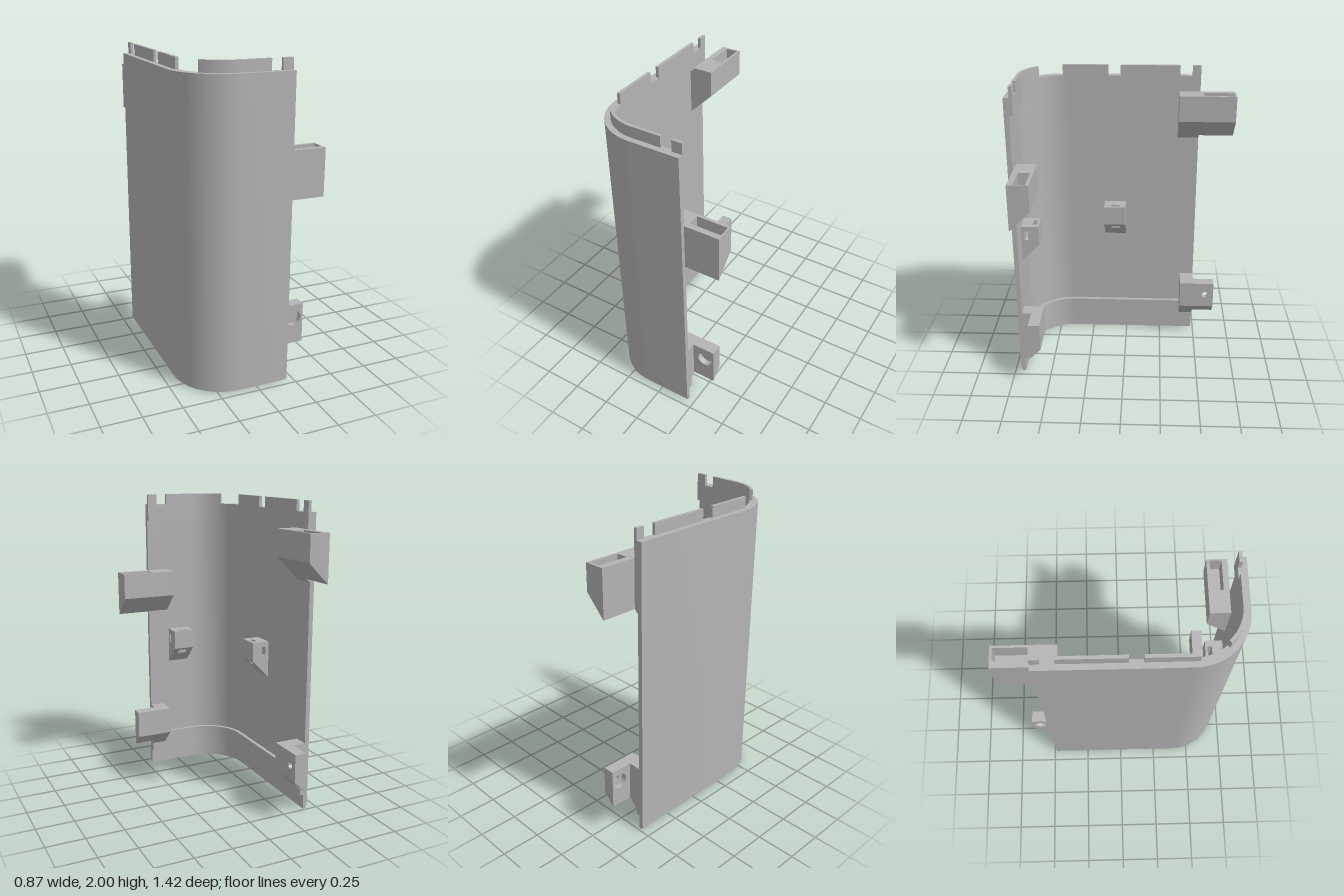
import * as THREE from 'three';
import { toCreasedNormals } from 'three/addons/utils/BufferGeometryUtils.js';

const grey = new THREE.MeshStandardMaterial({ color: 0xb4b4b4 });
grey.name = 'plain grey';

const END_Z = -0.485, END_X = 0.205; // free edges of the side and front walls
const V = (x, y) => new THREE.Vector2(x, y);

function add(parent, name, geometry) {
  const mesh = new THREE.Mesh(toCreasedNormals(geometry, 0.5), grey);
  mesh.name = name;
  parent.add(mesh);
}

const extrude = (shape, depth) => new THREE.ExtrudeGeometry(shape, { depth, bevelEnabled: false, curveSegments: 16 });

function rectHole(x0, x1, y0, y1) {
  return new THREE.Path([V(x0, y0), V(x0, y1), V(x1, y1), V(x1, y0)]);
}

// Plan curve of the rounded corner wall, inset by o from the outer face
function planCurve(o, startZ, startAngle, endX) {
  const pts = [], r = 0.32 - o;
  if (startZ !== null) pts.push(V(-0.435 + o, -startZ));
  for (let i = 0; i <= 20; i++) {
    const a = startAngle + (Math.PI / 2 - startAngle) * i / 20;
    pts.push(V(-0.115 - r * Math.cos(a), -(0.39 + r * Math.sin(a))));
  }
  pts.push(V(endX, -(0.71 - o)));
  return pts;
}

// Upright strip following the wall between insets o0 and o1
function band(parent, name, o0, o1, y0, y1, startZ = END_Z, startAngle = 0, endX = END_X) {
  const outline = [...planCurve(o0, startZ, startAngle, endX), ...planCurve(o1, startZ, startAngle, endX).reverse()];
  const geo = extrude(new THREE.Shape(outline), y1 - y0);
  geo.rotateX(-Math.PI / 2).translate(0, y0, 0);
  add(parent, name, geo);
}

function box(parent, name, x0, x1, y0, y1, z0, z1) {
  const geo = new THREE.BoxGeometry(x1 - x0, y1 - y0, z1 - z0);
  geo.translate((x0 + x1) / 2, (y0 + y1) / 2, (z0 + z1) / 2);
  add(parent, name, geo);
}

// Bracket space: x = distance from the wall, z = along the wall.
// Piece of a bracket with a sloping underside that starts at b.y0 on the wall.
function piece(g, b, d0, d1, z0, z1, top = b.top, hole = null) {
  const under = d => b.y0 + (b.y1 - b.y0) * d / b.D;
  const shape = new THREE.Shape([V(d0, under(d0)), V(d1, under(d1)), V(d1, top), V(d0, top)]);
  if (hole) shape.holes.push(hole);
  add(g, 'bracketBody', extrude(shape, z1 - z0).translate(0, 0, z0));
}

// Flat layer across the wall direction, pierced by a round hole
function drilledLayer(g, d0, d1, z0, z1, y0, y1, cz, cy, r) {
  const shape = new THREE.Shape([V(z0, y0), V(z1, y0), V(z1, y1), V(z0, y1)]);
  if (r) shape.holes.push(new THREE.Path().absarc(cz, cy, r, 0, Math.PI * 2, true));
  add(g, 'drilledPlate', extrude(shape, d1 - d0).rotateY(-Math.PI / 2).translate(d1, 0, 0));
}

// Large bracket with a blind slot in its top; it overhangs the wall edge
function slottedBracket(g, b) {
  const [s0, s1] = b.slotZ, [a, c] = b.slotD;
  for (const [z0, z1] of b.solid) piece(g, b, z0 === b.wallZ[0] ? 0 : b.back, b.D, z0, z1);
  piece(g, b, b.back, a, s0, s1);
  piece(g, b, c, b.D, s0, s1);
  piece(g, b, a, c, s0, s1, b.top - 0.12);
}

// Small bracket with a sideways hole and a vertical hole
function smallBracket(g, b) {
  const [z0, z1] = b.z, [h0, h1] = b.holeZ, [a, c] = b.holeD;
  piece(g, b, 0, 0.06, z0, z1, b.top, rectHole(0.025, 0.05, 0.935, 0.995));
  piece(g, b, 0.06, b.D, z0, h0);
  piece(g, b, 0.06, b.D, h1, z1);
  piece(g, b, 0.06, a, h0, h1);
  piece(g, b, c, b.D, h0, h1);
}

// Bracket whose overhanging plate holds a counterbored screw hole
function screwBracket(g, b) {
  piece(g, b, 0, b.D, ...b.wallZ);
  const [z0, z1] = b.overZ, mid = (b.plate + b.D) / 2;
  piece(g, b, b.plate, b.D, z0, z1, b.y1);
  drilledLayer(g, b.plate, mid, z0, z1, b.y1, b.top, b.hole, 0.37, 0.05);
  drilledLayer(g, mid, b.D, z0, z1, b.y1, b.top, b.hole, 0.37, b.pilot);
}

export function createModel() {
  const model = new THREE.Group();
  model.name = 'cornerCover';

  // Curved wall, thicker at the top and along a low inner rib
  const shell = new THREE.Group();
  shell.name = 'shell';
  model.add(shell);
  band(shell, 'bottomEdge', 0.01, 0.03, 0, 0.015);
  band(shell, 'wall', 0, 0.03, 0.015, 1.93);
  band(shell, 'lowerRib', 0.03, 0.055, 0.1, 0.24);
  band(shell, 'upperRim', 0.03, 0.055, 1.82, 1.93);

  // Broken locating lip on the top edge
  band(shell, 'cornerLip', 0.035, 0.055, 1.93, 2, null, 0.73, 0.07);
  box(shell, 'frontLip', 0.14, END_X, 1.93, 2, 0.655, 0.675);
  for (const [z0, z1] of [[0.12, 0.42], [-0.35, 0.04], [END_Z, -0.43]]) {
    box(shell, 'sideLip', -0.4, -0.38, 1.93, 2, z0, z1);
  }

  // Bracket sets: one on the side wall, one turned onto the front wall
  const side = new THREE.Group();
  side.name = 'sideBrackets';
  side.position.x = -0.405;
  const front = new THREE.Group();
  front.name = 'frontBrackets';
  front.rotation.y = Math.PI / 2;
  front.position.z = 0.685;
  model.add(side, front);

  slottedBracket(side, {
    D: 0.155, y0: 1.505, y1: 1.66, top: 1.83, back: 0.025, wallZ: [END_Z, -0.345],
    solid: [[END_Z, -0.345], [-0.505, END_Z], [-0.715, -0.7]], slotZ: [-0.7, -0.505], slotD: [0.065, 0.14],
  });
  slottedBracket(front, {
    D: 0.135, y0: 1.168, y1: 1.3, top: 1.47, back: 0.003, wallZ: [0.065, END_X],
    solid: [[0.065, END_X], [END_X, 0.22], [0.42, 0.43]], slotZ: [0.22, 0.42], slotD: [0.04, 0.115],
  });

  smallBracket(side, { D: 0.12, y0: 0.78, y1: 0.9, top: 1.03, z: [0.005, 0.155], holeZ: [0.045, 0.105], holeD: [0.07, 0.1] });
  smallBracket(front, { D: 0.12, y0: 0.78, y1: 0.9, top: 1.03, z: [-0.09, 0.055], holeZ: [-0.05, 0.015], holeD: [0.075, 0.105] });

  screwBracket(side, {
    D: 0.16, y0: 0.115, y1: 0.275, top: 0.46, wallZ: [END_Z, -0.39], overZ: [-0.63, END_Z],
    plate: 0.085, hole: -0.57, pilot: 0.022,
  });
  screwBracket(front, {
    D: 0.14, y0: 0.135, y1: 0.275, top: 0.46, wallZ: [0.11, END_X], overZ: [END_X, 0.355],
    plate: 0.065, hole: 0.29, pilot: 0,
  });

  return model;
}
